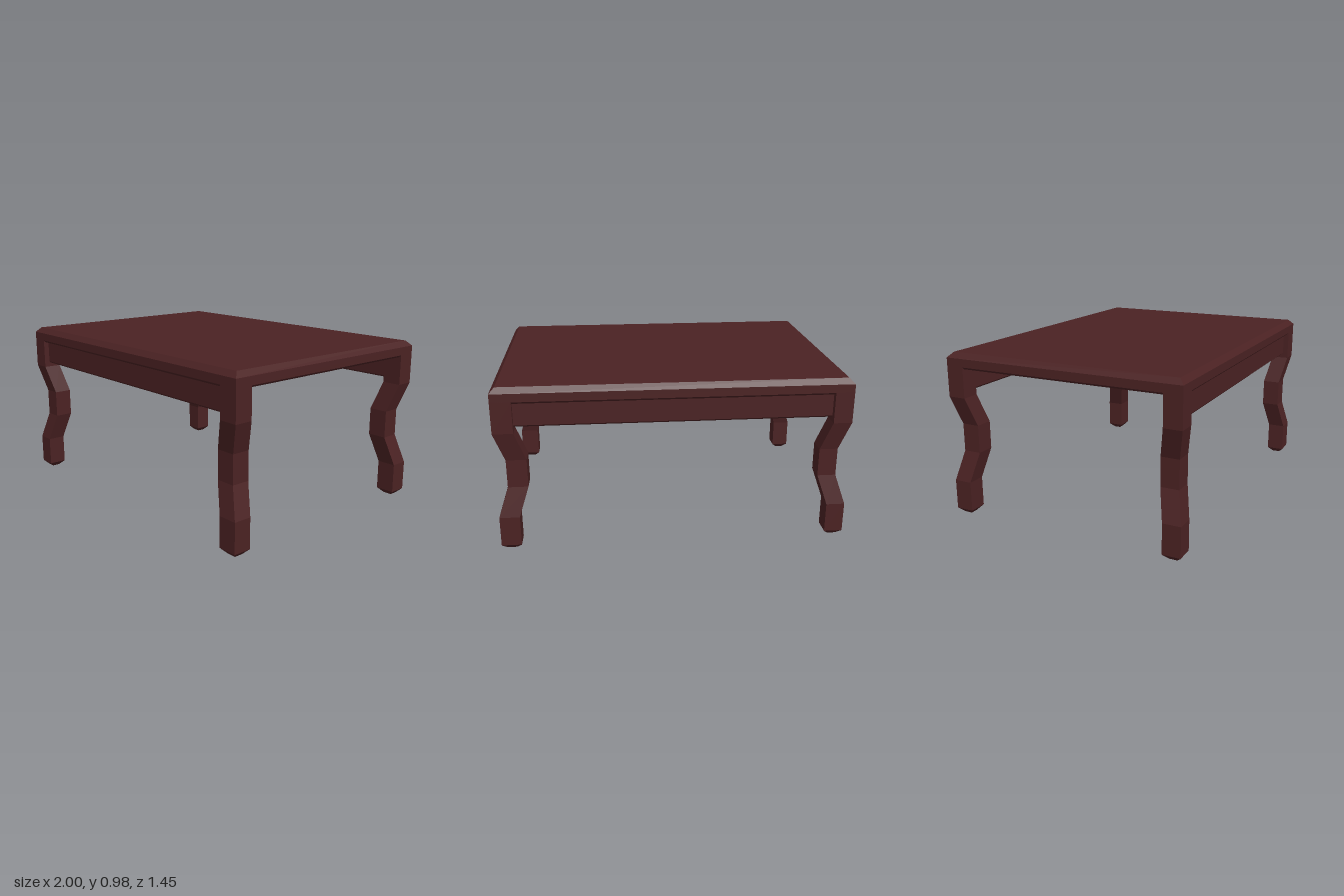
import * as THREE from 'three';

// Stacks rectangles [y, x0, x1, z0, z1] from bottom to top into a faceted solid.
function loft(sections) {
  const pos = [];
  const rings = sections.map(([y, x0, x1, z0, z1]) => [
    [x0, y, z1], [x1, y, z1], [x1, y, z0], [x0, y, z0],
  ]);
  const quad = (a, b, c, d) => pos.push(...a, ...b, ...c, ...a, ...c, ...d);
  for (let r = 0; r < rings.length - 1; r++) {
    for (let i = 0; i < 4; i++) {
      const j = (i + 1) % 4;
      quad(rings[r][i], rings[r][j], rings[r + 1][j], rings[r + 1][i]);
    }
  }
  const [p, q, s, t] = rings[0];
  quad(t, s, q, p);
  quad(...rings[rings.length - 1]);
  const geo = new THREE.BufferGeometry();
  geo.setAttribute('position', new THREE.Float32BufferAttribute(pos, 3));
  geo.computeVertexNormals();
  return geo;
}

export function createModel() {
  const table = new THREE.Group();
  table.name = 'table';
  const wood = new THREE.MeshStandardMaterial({ color: 0x4b2223 });
  wood.name = 'dark mahogany';

  const add = (name, sections) => {
    const mesh = new THREE.Mesh(loft(sections), wood);
    mesh.name = name;
    table.add(mesh);
  };

  // A rectangle centred on the table, inset from its outer edge
  const X = 1, Z = 0.723;
  const slab = (y, inset) => [y, -X + inset, X - inset, -Z + inset, Z - inset];

  // Table top with chamfered rims
  add('tableTop', [slab(0.885, 0.012), slab(0.897, 0), slab(0.945, 0), slab(0.975, 0.03)]);

  // Legs that kink inwards at the knee: [y, shift in x, shift in z, chamfer]
  const profile = [
    [0, 0, 0, 0.03], [0.03, 0, 0, 0], [0.207, 0, 0, 0], [0.38, 0.057, 0.037, 0],
    [0.545, 0.057, 0.037, 0], [0.717, 0, 0, 0], [0.9, 0, 0, 0],
  ];
  for (const sx of [-1, 1]) {
    for (const sz of [-1, 1]) {
      const w = sx > 0 ? 0.115 : 0.107;
      const d = 0.107;
      add((sz > 0 ? 'front' : 'back') + (sx > 0 ? 'Left' : 'Right') + 'Leg',
        profile.map(([y, dx, dz, c]) => {
          const xs = [sx * (X - dx - c), sx * (X - dx - w + c)].sort((a, b) => a - b);
          const zs = [sz * (Z - dz - c), sz * (Z - dz - d + c)].sort((a, b) => a - b);
          return [y, ...xs, ...zs];
        }));
    }
  }

  // Recessed aprons along the two long sides
  for (const sz of [-1, 1]) {
    const zc = sz * 0.665;
    add(sz > 0 ? 'frontApron' : 'backApron', [
      [0.742, -0.92, 0.92, zc - 0.015, zc + 0.015],
      [0.752, -0.92, 0.92, zc - 0.025, zc + 0.025],
      [0.892, -0.92, 0.92, zc - 0.025, zc + 0.025],
    ]);
  }

  return table;
}
